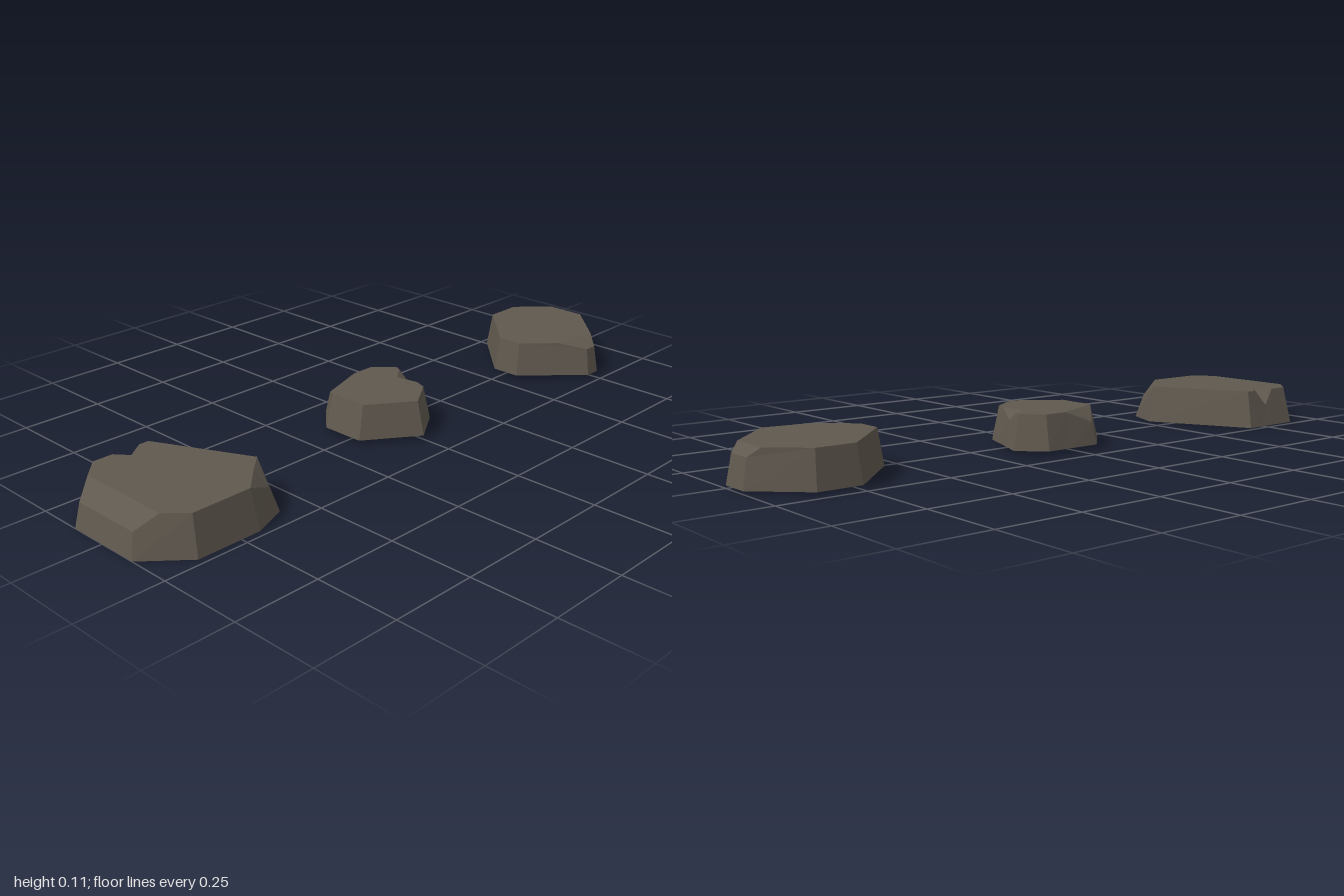
import * as THREE from 'three';

const stoneMat = new THREE.MeshStandardMaterial({ color: 0x5f584e, flatShading: true });
stoneMat.name = 'dark stone';

const TOP = 0.113;

// Each column of a stone, clockwise from above:
// [bottom x,z], [top x,z], optional chipped shoulder [x,z,y]
const frontStone = [
  [[-0.23, 0.69], [-0.205, 0.7]],
  [[0.075, 0.54], [0.08, 0.565]],
  [[0.185, 0.585], [0.14, 0.63], [0.171, 0.607, 0.072]],
  [[0.229, 0.69], [0.205, 0.695]],
  [[0.229, 0.885], [0.205, 0.875]],
  [[0.122, 1.0], [0.15, 0.93], [0.112, 0.984, 0.07]],
  [[-0.116, 1.0], [-0.147, 0.93], [-0.11, 0.984, 0.07]],
  [[-0.23, 0.885], [-0.205, 0.875]],
  [[-0.23, 0.82], [-0.205, 0.815]],
  [[-0.23, 0.78], [-0.16, 0.78], [-0.215, 0.775, 0.065]],
  [[-0.23, 0.73], [-0.205, 0.73]],
];

const middleStone = [
  [[-0.18, -0.11], [-0.155, -0.1]],
  [[-0.11, -0.18], [-0.1, -0.155]],
  [[-0.08, -0.169], [-0.08, -0.147]],
  [[-0.04, -0.154], [-0.04, -0.095], [-0.04, -0.141, 0.088]],
  [[0.03, -0.128], [0.03, -0.107]],
  [[0.08, -0.11], [0.068, -0.093]],
  [[0.155, 0], [0.13, 0]],
  [[0.045, 0.155], [0.038, 0.13]],
  [[-0.09, 0.155], [-0.085, 0.13]],
  [[-0.18, 0.07], [-0.12, 0.05], [-0.166, 0.064, 0.077]],
  [[-0.18, -0.03], [-0.156, -0.03]],
];

const backStone = [
  [[-0.216, -0.87], [-0.2, -0.863]],
  [[-0.09, -1], [-0.11, -0.957], [-0.085, -0.985, 0.088]],
  [[0, -1], [0.015, -0.957], [-0.005, -0.985, 0.088]],
  [[0.216, -0.78], [0.155, -0.82], [0.202, -0.775, 0.092]],
  [[0.216, -0.73], [0.134, -0.67], [0.202, -0.735, 0.092]],
  [[0.05, -0.565], [0.045, -0.582]],
  [[-0.04, -0.565], [-0.035, -0.582]],
  [[-0.216, -0.74], [-0.2, -0.747]],
];

// Loft bottom -> shoulder -> top rings, then close both ends with flat caps
function stone(name, columns, base) {
  const pos = [];
  const bottom = columns.map(([b]) => new THREE.Vector3(b[0], base, b[1]));
  const top = columns.map(([, t]) => new THREE.Vector3(t[0], TOP, t[1]));
  const shoulder = columns.map(([, , s], i) => (s ? new THREE.Vector3(s[0], s[2], s[1]) : top[i]));
  const tri = (a, b, c) => {
    if (a.equals(b) || b.equals(c) || c.equals(a)) return;
    for (const p of [a, b, c]) pos.push(p.x, p.y, p.z);
  };
  for (const [lo, hi] of [[bottom, shoulder], [shoulder, top]]) {
    lo.forEach((p, i) => {
      const j = (i + 1) % lo.length;
      tri(lo[j], p, hi[i]);
      tri(lo[j], hi[i], hi[j]);
    });
  }
  const cap = (ring, up) => {
    const flat = ring.map((p) => new THREE.Vector2(p.x, p.z));
    for (const [a, b, c] of THREE.ShapeUtils.triangulateShape(flat, [])) {
      const facesUp = THREE.ShapeUtils.area([flat[a], flat[b], flat[c]]) < 0;
      if (facesUp === up) tri(ring[a], ring[b], ring[c]);
      else tri(ring[a], ring[c], ring[b]);
    }
  };
  cap(bottom, false);
  cap(top, true);
  const geo = new THREE.BufferGeometry();
  geo.setAttribute('position', new THREE.Float32BufferAttribute(pos, 3));
  geo.computeVertexNormals();
  const mesh = new THREE.Mesh(geo, stoneMat);
  mesh.name = name;
  return mesh;
}

export function createModel() {
  const group = new THREE.Group();
  group.name = 'steppingStones';
  group.add(
    stone('frontStone', frontStone, 0),
    stone('middleStone', middleStone, 0.012),
    stone('backStone', backStone, 0.008),
  );
  return group;
}
